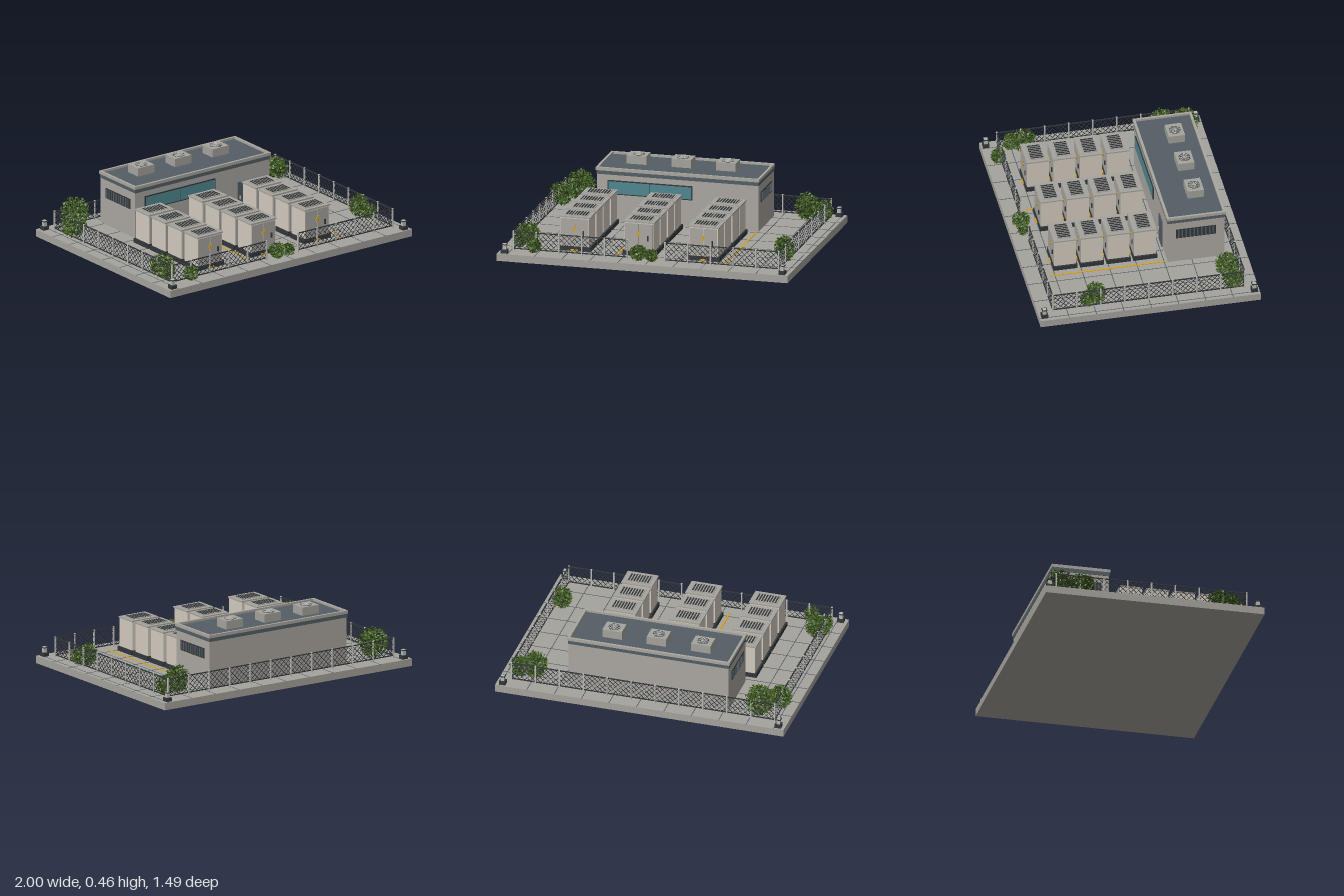
import * as THREE from 'three';
import { mergeGeometries } from 'three/addons/utils/BufferGeometryUtils.js';

const mat = (name, color, side = THREE.FrontSide) => {
  const m = new THREE.MeshStandardMaterial({ color, side });
  m.name = name;
  return m;
};

// Box given by its ranges on each axis
function span(x0, x1, y0, y1, z0, z1) {
  return new THREE.BoxGeometry(x1 - x0, y1 - y0, z1 - z0)
    .translate((x0 + x1) / 2, (y0 + y1) / 2, (z0 + z1) / 2);
}
// Box given by centre x/z, base y and size
const block = (x, y, z, w, h, d) => span(x - w / 2, x + w / 2, y, y + h, z - d / 2, z + d / 2);

function seeded(seed) {
  return () => {
    seed = (seed * 1664525 + 1013904223) >>> 0;
    return seed / 4294967296;
  };
}

// Cloud of small diamond leaves filling an ellipsoid
function leafCloud(x, z, r, h, count, rand) {
  const pos = [], idx = [];
  const u = new THREE.Vector3(), v = new THREE.Vector3(), n = new THREE.Vector3();
  for (let i = 0; i < count; i++) {
    const a = rand() * Math.PI * 2, c = rand() * 2 - 1, s = Math.sqrt(1 - c * c);
    const k = 0.3 + 0.75 * Math.sqrt(rand());
    const p = new THREE.Vector3(x + Math.cos(a) * s * k * r, Math.max(0.055, 0.05 + h * (0.52 + c * k * 0.47)), z + Math.sin(a) * s * k * r);
    n.set(rand() - 0.5, rand() * 0.8, rand() - 0.5).normalize();
    u.set(rand() - 0.5, rand() - 0.5, rand() - 0.5).cross(n).normalize();
    v.crossVectors(n, u);
    const L = 0.009 + rand() * 0.004, W = L * 0.55, b = i * 4;
    for (const [du, dv] of [[-L, 0], [0, -W], [L, 0], [0, W]]) {
      pos.push(p.x + u.x * du + v.x * dv, p.y + u.y * du + v.y * dv, p.z + u.z * du + v.z * dv);
    }
    idx.push(b, b + 1, b + 2, b, b + 2, b + 3);
  }
  const g = new THREE.BufferGeometry();
  g.setAttribute('position', new THREE.Float32BufferAttribute(pos, 3));
  g.setIndex(idx);
  g.computeVertexNormals();
  return g;
}

export function createModel() {
  const root = new THREE.Group();
  const M = {
    concrete: mat('concrete', 0xa5a39c),
    wall: mat('wallGrey', 0xaba7a1),
    cream: mat('creamPanel', 0xd2cabe),
    slate: mat('slate', 0x535e64),
    dark: mat('darkMetal', 0x33373a),
    steel: mat('paleSteel', 0xb9b9b5),
    glass: mat('tealGlass', 0x4f8791),
    yellow: mat('safetyYellow', 0xd9a21b),
    leaf: mat('leafGreen', 0x46631f, THREE.DoubleSide),
    leafDark: mat('leafShade', 0x2b4118, THREE.DoubleSide),
  };
  const add = (parent, name, geos, material) => {
    const mesh = new THREE.Mesh(Array.isArray(geos) ? mergeGeometries(geos) : geos, material);
    mesh.name = name;
    parent.add(mesh);
    return mesh;
  };
  const group = (name) => {
    const g = new THREE.Group();
    g.name = name;
    root.add(g);
    return g;
  };

  // Slab, paving joints and floor lines
  add(root, 'slab', span(-1, 1, 0, 0.05, -0.745, 0.745), M.concrete);
  const joints = [];
  for (let x = -0.93; x < 1; x += 0.19) joints.push(block(x, 0.05, 0, 0.005, 0.001, 1.49));
  for (let z = -0.56; z < 0.6; z += 0.185) joints.push(block(0, 0.05, z, 2, 0.0013, 0.005));
  add(root, 'pavingJoints', joints, M.slate);
  add(root, 'floorLines', [-0.22, 0.527].map((x) => block(x, 0.05, 0.2, 0.011, 0.003, 0.78)), M.yellow);

  // Control building
  const b = group('building');
  add(b, 'walls', span(-0.575, 0.535, 0.05, 0.39, -0.597, -0.213), M.wall);
  add(b, 'roofBand', span(-0.578, 0.538, 0.366, 0.392, -0.6, -0.21), M.slate);
  add(b, 'roofDeck', span(-0.566, 0.526, 0.392, 0.398, -0.59, -0.22), M.slate);
  add(b, 'parapet', [
    span(-0.582, 0.542, 0.392, 0.413, -0.604, -0.588), span(-0.582, 0.542, 0.392, 0.413, -0.222, -0.206),
    span(-0.582, -0.566, 0.392, 0.413, -0.588, -0.222), span(0.526, 0.542, 0.392, 0.413, -0.588, -0.222),
  ], M.wall);
  add(b, 'windowFrame', span(-0.5, 0.083, 0.233, 0.329, -0.213, -0.205), M.dark);
  add(b, 'windowPanes', [span(-0.493, -0.211, 0.24, 0.322, -0.206, -0.203),
    span(-0.206, 0.076, 0.24, 0.322, -0.206, -0.203)], M.glass);
  add(b, 'door', span(0.27, 0.365, 0.05, 0.26, -0.213, -0.205), M.slate);
  add(b, 'doorHandle', span(0.283, 0.29, 0.14, 0.165, -0.206, -0.199), M.steel);

  // Side louvres on both end walls
  for (const [x, s] of [[0.535, 1], [-0.575, -1]]) {
    add(b, 'louvreBack', block(x, 0.24, -0.402, 0.008, 0.07, 0.27), M.dark);
    const slats = [];
    for (let i = 0; i < 10; i++) slats.push(block(x + s * 0.004, 0.246, -0.52 + i * 0.0262, 0.01, 0.058, 0.009));
    add(b, 'louvreSlats', slats, M.slate);
  }

  // Rooftop fan units
  for (const x of [-0.352, -0.045, 0.263]) {
    const g = group('roofFan');
    g.position.set(x, 0.398, -0.445);
    add(g, 'fanHousing', block(0, 0, 0, 0.135, 0.057, 0.11), M.concrete);
    add(g, 'fanWell', new THREE.CylinderGeometry(0.041, 0.041, 0.004, 24).translate(0, 0.057, 0), M.dark);
    const guard = [0.013, 0.022, 0.031, 0.04].map((r) =>
      new THREE.TorusGeometry(r, 0.002, 4, 24).rotateX(Math.PI / 2).translate(0, 0.061, 0));
    for (let i = 0; i < 4; i++) guard.push(block(0, 0.06, 0, 0.08, 0.002, 0.003).rotateY(i * Math.PI / 4));
    add(g, 'fanGuard', guard, M.steel);
  }

  // Battery cabinets, three columns by four rows
  const bolt = new THREE.ExtrudeGeometry(new THREE.Shape([
    [0.006, 0.026], [-0.017, -0.004], [-0.003, -0.004], [-0.008, -0.026], [0.017, 0.006], [0.002, 0.006],
  ].map(([x, y]) => new THREE.Vector2(x, y))), { depth: 0.004, bevelEnabled: false });
  const grille = [];
  for (let i = 0; i < 8; i++) grille.push(block(-0.065 + i * 0.0186, 0.238, 0, 0.009, 0.004, 0.085));
  for (const x of [-0.52, -0.078, 0.365]) {
    for (const z of [-0.073, 0.107, 0.287, 0.467]) {
      const g = group('cabinet');
      g.position.set(x, 0.05, z);
      add(g, 'plinth', block(0, 0, 0, 0.224, 0.03, 0.162), M.dark);
      add(g, 'body', block(0, 0.03, 0, 0.2, 0.196, 0.148), M.cream);
      add(g, 'frontDoors', [block(-0.048, 0.036, 0.074, 0.094, 0.184, 0.006),
        block(0.048, 0.036, 0.074, 0.094, 0.184, 0.006)], M.wall);
      add(g, 'lid', [block(0, 0.226, 0, 0.214, 0.009, 0.156), block(0, 0.235, 0, 0.155, 0.004, 0.1)], M.concrete);
      add(g, 'lidGrille', grille, M.dark);
      add(g, 'hazardBolt', bolt.clone().translate(0, 0.152, 0.077), M.yellow);
      add(g, 'handle', block(0.062, 0.105, 0.08, 0.008, 0.035, 0.008), M.dark);
      add(g, 'frontStep', block(0, 0, 0.083, 0.05, 0.012, 0.012), M.yellow);
    }
  }

  // Chain link fence; each run starts at (x, z) and heads along its local x
  const y0 = 0.066, y1 = 0.182, H = y1 - y0;
  function fenceRun(x, z, length, turn, panels) {
    const g = group('fenceRun');
    g.position.set(x, 0, z);
    g.rotation.y = turn;
    add(g, 'rails', [y0, y1].map((y) => block(length / 2, y - 0.003, 0, length, 0.006, 0.007)), M.dark);
    const posts = [], caps = [], wires = [];
    for (let i = 0; i <= panels; i++) {
      posts.push(block(i * length / panels, 0.05, 0, 0.009, 0.134, 0.009));
      caps.push(block(i * length / panels, 0.184, 0, 0.011, 0.004, 0.011));
    }
    for (let s = -H + 0.01; s < length; s += 0.036) {
      const a = Math.max(s, 0), e = Math.min(s + H, length);
      if (e - a < 0.008) continue;
      for (const dir of [1, -1]) {
        const mid = (a + e) / 2 - s;
        wires.push(new THREE.BoxGeometry((e - a) * Math.SQRT2, 0.0028, 0.0028).rotateZ(dir * Math.PI / 4)
          .translate((a + e) / 2, dir > 0 ? y0 + mid : y1 - mid, dir * 0.001));
      }
    }
    add(g, 'posts', posts, M.steel);
    add(g, 'postCaps', caps, M.steel);
    add(g, 'wireMesh', wires, M.dark);
  }
  fenceRun(-0.912, -0.655, 1.824, 0, 11);
  fenceRun(-0.912, 0.645, 0.782, 0, 5);
  fenceRun(0.13, 0.645, 0.782, 0, 5);
  for (const x of [-0.912, 0.912]) fenceRun(x, -0.655, 1.3, -Math.PI / 2, 8);

  // Corner bollard lamps
  for (const x of [-0.955, 0.955]) for (const z of [-0.71, 0.71]) {
    const g = group('bollardLamp');
    g.position.set(x, 0.05, z);
    add(g, 'lampBase', block(0, 0, 0, 0.044, 0.025, 0.044), M.dark);
    add(g, 'lampNeck', block(0, 0.025, 0, 0.024, 0.031, 0.024), M.steel);
    add(g, 'lampRim', block(0, 0.056, 0, 0.036, 0.005, 0.036), M.dark);
    add(g, 'lampCap', block(0, 0.061, 0, 0.024, 0.002, 0.024), M.steel);
  }

  // Shrubs: x, z, radius, height
  const rand = seeded(7);
  [
    [-0.79, -0.595, 0.095, 0.22], [-0.89, -0.47, 0.08, 0.16], [0.775, -0.565, 0.08, 0.19],
    [0.88, -0.58, 0.065, 0.14], [0.865, 0.34, 0.065, 0.155], [0.895, 0.4, 0.05, 0.11],
    [-0.865, 0.47, 0.08, 0.15], [-0.89, 0.555, 0.052, 0.12], [-0.765, 0.665, 0.047, 0.105],
    [-0.05, 0.66, 0.057, 0.11], [0.04, 0.66, 0.04, 0.085],
  ].forEach(([x, z, r, h]) => {
    const g = group('shrub');
    const n = Math.round(r * 6500);
    add(g, 'outerLeaves', leafCloud(x, z, r, h, n, rand), M.leaf);
    add(g, 'innerLeaves', leafCloud(x, z, r * 0.92, h * 0.95, n, rand), M.leafDark);
    const stems = [];
    for (let i = 0; i < 5; i++) {
      stems.push(new THREE.CylinderGeometry(0.0015, 0.003, h * 0.7, 5).translate(0, h * 0.35, 0)
        .rotateZ(0.35).rotateY(i * 1.257).translate(x, 0.05, z));
    }
    add(g, 'stems', stems, M.leafDark);
  });

  return root;
}
